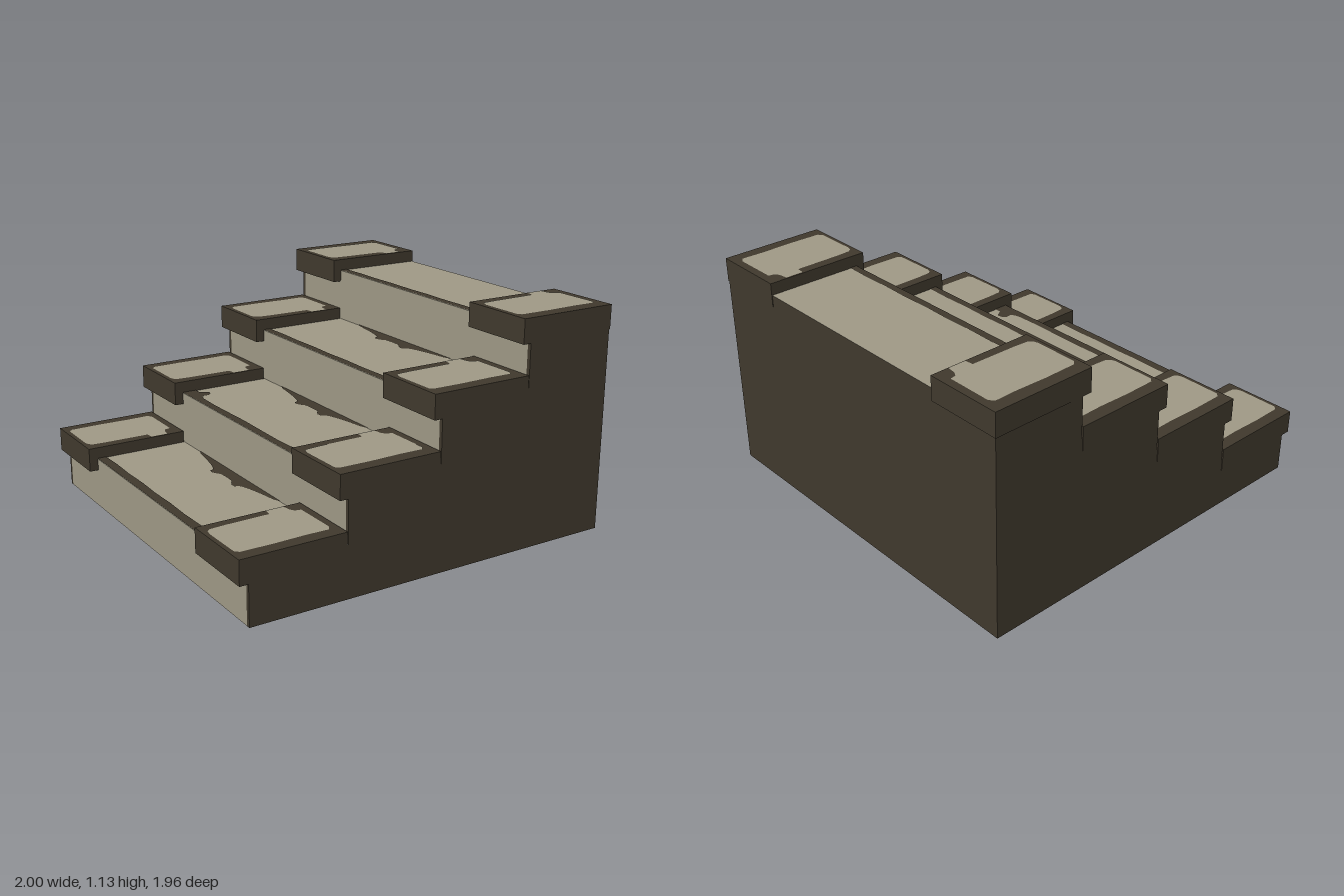
import * as THREE from 'three';

const STEPS = 4, RUN = 0.49, RISE = 0.27;
const FRONT = -0.955, BACK = 0.997, HALF = 0.975, INNER = 0.588;
const riserX = (i) => FRONT + RUN * i;
const treadY = (i) => 0.26 + RISE * i;

export function createModel() {
  const model = new THREE.Group();
  model.name = 'staircase';
  const material = (name, color) => {
    const m = new THREE.MeshStandardMaterial({ color, side: THREE.DoubleSide });
    m.name = name;
    return m;
  };
  const dark = material('dark stone', 0x40392d);
  const light = material('worn pale stone', 0x9f9986);

  const add = (name, geometry, mat, x = 0, y = 0, z = 0) => {
    const mesh = new THREE.Mesh(geometry, mat);
    mesh.name = name;
    mesh.position.set(x, y, z);
    model.add(mesh);
    return mesh;
  };
  const outline = (points) => new THREE.Shape(points.map(([x, y]) => new THREE.Vector2(x, y)));
  // Flat horizontal sheet from [x, z] points
  const sheet = (points) =>
    new THREE.ShapeGeometry(outline(points.map(([x, z]) => [x, -z]))).rotateX(-Math.PI / 2);
  // Sheet outline mirrored across z = 0; points run from the outer end to the middle
  const mirrored = (half, edgeX) => [
    [edgeX, half[0][1]], ...half,
    ...half.slice().reverse().map(([x, z]) => [x, -z]), [edgeX, -half[0][1]],
  ];
  // Upright sheet across the stairs, facing +x or -x
  const upright = (name, mat, x, y0, y1, z0, z1, facing) => {
    const g = new THREE.PlaneGeometry(z1 - z0, y1 - y0).rotateY(facing * Math.PI / 2);
    return add(name, g, mat, x, (y0 + y1) / 2, (z0 + z1) / 2);
  };

  // Stepped side walls, open underneath
  const profile = [[BACK, 0], [FRONT, 0]];
  for (let i = 0; i < STEPS; i++) {
    profile.push([riserX(i), treadY(i)], [i < STEPS - 1 ? riserX(i + 1) : BACK, treadY(i)]);
  }
  for (const s of [1, -1]) {
    const wall = new THREE.ShapeGeometry(outline(profile));
    if (s < 0) wall.scale(-1, 1, 1).rotateY(Math.PI);
    // the turned copy keeps its x positions while facing -z
    add(s > 0 ? 'leftWall' : 'rightWall', wall, dark, 0, 0, s * HALF);
  }
  upright('backWall', dark, BACK, 0, treadY(STEPS - 1), -HALF, HALF, 1);

  // Worn patch on a cap: [x from the cap front, distance from the centre line]
  const capPatch = [
    [0.02, 0.68], [0.027, 0.655], [0.045, 0.64], [0.12, 0.635], [0.345, 0.632], [0.35, 0.59],
    [0.44, 0.59], [0.446, 0.635], [0.46, 0.658], [0.49, 0.664], [0.492, 0.89], [0.475, 0.915],
    [0.36, 0.912], [0.2, 0.917], [0.04, 0.914], [0.022, 0.895],
  ];
  // Dark stain at the rear of a tread: [depth, z]
  const rearStain = [
    [0.004, 0.4], [0.017, 0.365], [0.026, 0.3], [0.035, 0.25], [0.045, 0.2], [0.06, 0.15],
    [0.068, 0.135], [0.09, 0.125], [0.092, 0.1], [0.08, 0.075], [0.066, 0.055], [0.064, 0.01],
  ];
  // Hooked front stain on the second tread: [depth, z]
  const hookStain = [
    [0.075, INNER], [0.076, 0.545], [0.105, 0.53], [0.117, 0.515], [0.112, 0.49], [0.09, 0.472],
    [0.065, 0.475], [0.05, 0.46], [0.042, 0.43], [0.038, 0.3], [0.042, 0.1], [0.044, 0.01],
  ];
  const stripWidth = [0.045, 0, 0.037, 0.036];

  // Stains show on the top and underside of each tread
  const stain = (name, points, y) => {
    for (const d of [0.003, -0.003]) add(name, sheet(points), dark, 0, y + d, 0);
  };

  for (let i = 0; i < STEPS; i++) {
    const x0 = riserX(i), y = treadY(i);
    const x1 = i < STEPS - 1 ? riserX(i + 1) : BACK;
    const low = i ? treadY(i - 1) : 0;

    // Riser with narrow dark ends
    upright('riser', light, x0, low, y, -HALF + 0.02, HALF - 0.02, -1);
    for (const s of [1, -1]) {
      const a = s * HALF, b = s * (HALF - 0.02);
      upright('riserEnd', dark, x0, low, y, Math.min(a, b), Math.max(a, b), -1);
    }

    // Tread and its stains
    add('tread', sheet([[x0, INNER], [x1, INNER], [x1, -INNER], [x0, -INNER]]), light, 0, y, 0);
    const front = i === 1
      ? hookStain.map(([d, z]) => [x0 + d, z])
      : [0.588, 0.45, 0.3, 0.15, 0.01].map((z, k) => [x0 + stripWidth[i] + (k % 2) * 0.004, z]);
    stain('treadFrontStain', mirrored(front, x0), y);
    if (i < STEPS - 1) {
      stain('treadRearStain', mirrored(rearStain.map(([d, z]) => [x1 - d, z]), x1), y);
    }

    // Overhanging side caps with worn tops
    const capX = -1 + RUN * i, top = y + 0.06;
    for (const s of [1, -1]) {
      add('cap', new THREE.BoxGeometry(0.53, 0.12, 0.393), dark,
        capX + 0.265, top - 0.06, s * 0.7815);
      add('capWornTop', sheet(capPatch.map(([x, z]) => [capX + x, s * z])), light, 0, top + 0.002, 0);
    }
  }
  return model;
}
